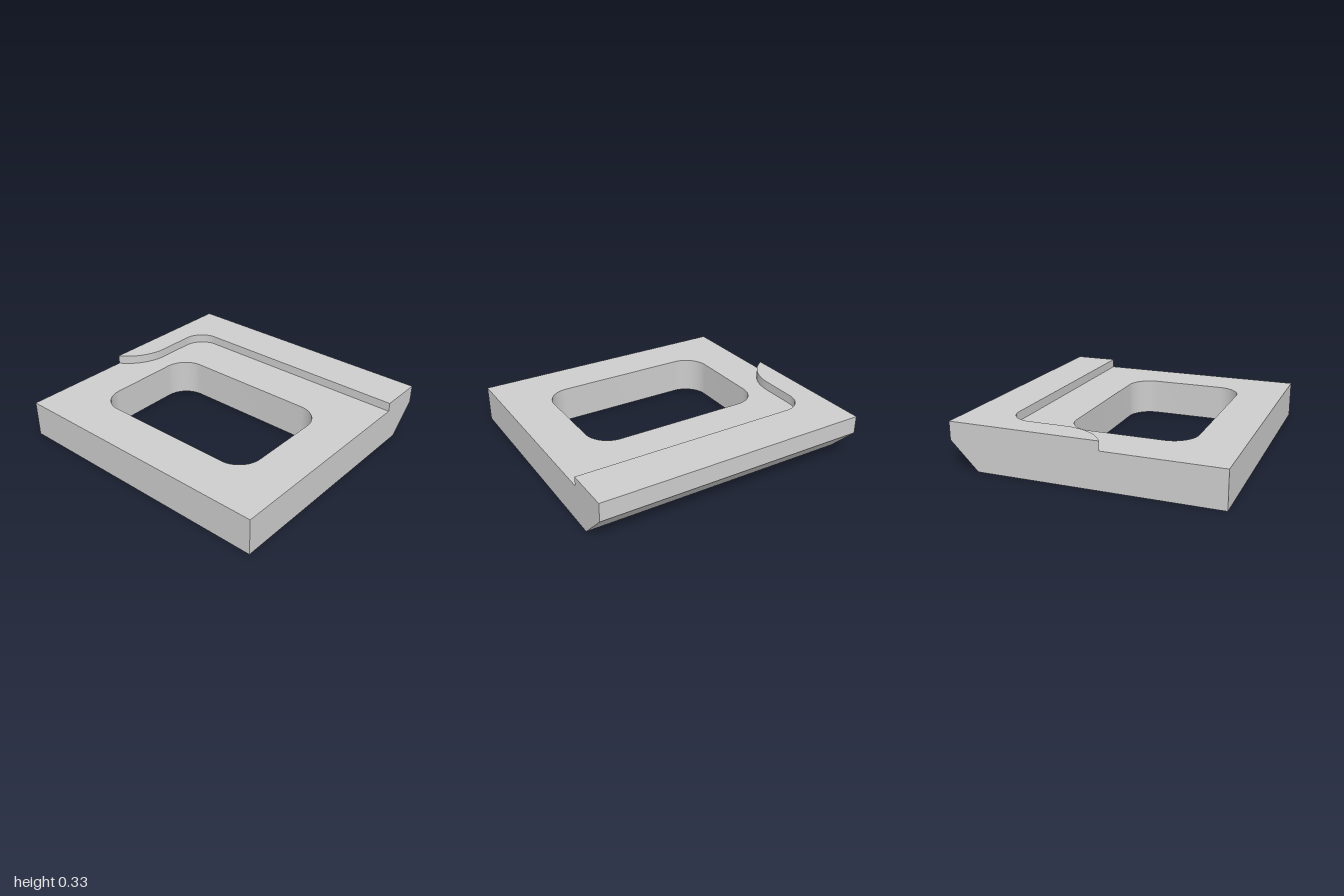
import * as THREE from 'three';
import { toCreasedNormals } from 'three/addons/utils/BufferGeometryUtils.js';

const HALF_DEPTH = 0.945; // back and front edges in z
const BASE_TOP = 0.265, STEP_TOP = 0.33, CHAMFER = 0.2;

// Shapes are drawn with y = -z, then laid flat with the extrusion going up.
function extrudeUp(shape, depth, steps = 1) {
  const g = new THREE.ExtrudeGeometry(shape, { depth, steps, bevelEnabled: false, curveSegments: 16 });
  return g.rotateX(-Math.PI / 2);
}

function roundedRect(path, x0, y0, x1, y1, r) {
  path.moveTo(x0 + r, y0);
  path.lineTo(x1 - r, y0);
  path.absarc(x1 - r, y0 + r, r, -Math.PI / 2, 0);
  path.absarc(x1 - r, y1 - r, r, 0, Math.PI / 2);
  path.absarc(x0 + r, y1 - r, r, Math.PI / 2, Math.PI);
  path.absarc(x0 + r, y0 + r, r, Math.PI, Math.PI * 1.5);
  path.closePath();
  return path;
}

function createModel() {
  const group = new THREE.Group();
  const grey = new THREE.MeshStandardMaterial({ color: 0xcccccc });
  grey.name = 'light grey';

  const add = (name, geometry) => {
    const mesh = new THREE.Mesh(toCreasedNormals(geometry, 0.5), grey);
    mesh.name = name;
    group.add(mesh);
  };

  // Base plate with a rounded window
  const plate = new THREE.Shape([
    new THREE.Vector2(-1, -HALF_DEPTH), new THREE.Vector2(1, -HALF_DEPTH),
    new THREE.Vector2(1, HALF_DEPTH), new THREE.Vector2(-1, HALF_DEPTH),
  ]);
  plate.holes.push(roundedRect(new THREE.Path(), -0.67, -0.615, 0.67, 0.265, 0.18));
  const base = extrudeUp(plate, BASE_TOP, 2);

  // Raise the middle ring and pull in the bottom back edge for the chamfer
  const p = base.attributes.position;
  for (let i = 0; i < p.count; i++) {
    const y = p.getY(i);
    if (y < 0.01) {
      p.setY(i, 0);
      if (p.getZ(i) < -0.9) p.setZ(i, -HALF_DEPTH + CHAMFER);
    } else if (y < BASE_TOP - 0.01) p.setY(i, CHAMFER);
  }
  add('basePlate', base);

  // Raised ledge along the back, sweeping forward on the right side
  const edgeX = -0.813, edgeY = 0.62, inner = 0.165, sweep = 0.37;
  const sweepAngle = Math.acos((-1 - edgeX + sweep) / sweep);
  const ledge = new THREE.Shape();
  ledge.moveTo(1, edgeY);
  ledge.lineTo(1, HALF_DEPTH);
  ledge.lineTo(-1, HALF_DEPTH);
  ledge.lineTo(-1, 0.19 - sweep * Math.sin(sweepAngle));
  ledge.absarc(edgeX - sweep, 0.19, sweep, -sweepAngle, 0);
  ledge.absarc(edgeX + inner, edgeY - inner, inner, Math.PI, Math.PI / 2, true);
  ledge.closePath();
  add('raisedLedge', extrudeUp(ledge, STEP_TOP - BASE_TOP).translate(0, BASE_TOP, 0));

  return group;
}

export { createModel };
